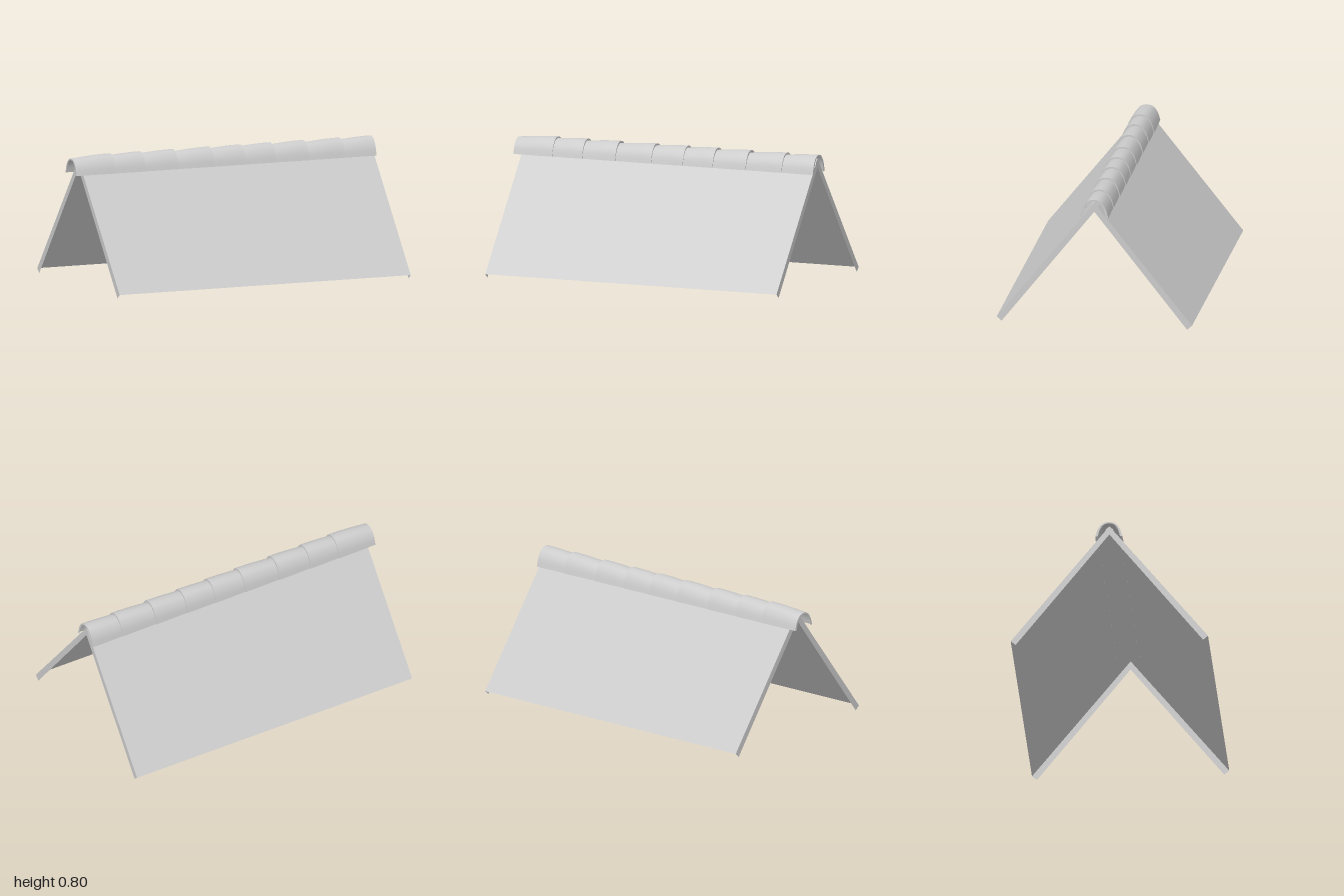
import * as THREE from 'three';
import { mergeGeometries, toCreasedNormals } from 'three/addons/utils/BufferGeometryUtils.js';

const material = new THREE.MeshStandardMaterial({ color: 0xcccccc, side: THREE.DoubleSide });

// Shell along x, open underneath: an outer skin with a flat cap at each end.
// Profiles hold (z, y) points; scaleAt(t) gives the [z, y] scale along the length.
function shell(name, outer, inner, length, steps, scaleAt) {
  const place = (p, i, t, z, y) => {
    const [sz, sy] = scaleAt(t);
    p.setXYZ(i, (t - 0.5) * length, y * sy, z * sz);
  };
  const n = outer.length;
  const skin = new THREE.PlaneGeometry(1, 1, n - 1, steps);
  const sp = skin.attributes.position;
  for (let i = 0; i < sp.count; i++) {
    const point = outer[i % n];
    place(sp, i, Math.floor(i / n) / steps, point.x, point.y);
  }
  const caps = [0, 1].map((t) => {
    const cap = new THREE.ShapeGeometry(new THREE.Shape([...outer, ...[...inner].reverse()]));
    const cp = cap.attributes.position;
    for (let i = 0; i < cp.count; i++) place(cp, i, t, cp.getX(i), cp.getY(i));
    return cap;
  });
  const mesh = new THREE.Mesh(toCreasedNormals(mergeGeometries([skin, ...caps]), 0.7), material);
  mesh.name = name;
  return mesh;
}

const points = (list) => list.map(([z, y]) => new THREE.Vector2(z, y));

// Sloping slab, facing +z
function slope(name) {
  const outer = points([[0.6, 0.026], [0, 0.777], [-0.025, 0.754]]);
  const inner = points([[0.57, 0]]);
  const mesh = shell(name, outer, inner, 1.943, 1, () => [1, 1]);
  mesh.position.x = 0.021;
  return mesh;
}

// Smooth arch from one foot to the other, measured from the foot line
function arch(halfWidth, height) {
  const half = [[1, 0], [0.82, 0.5], [0.48, 0.88]];
  const profile = [...half, [0, 1], ...half.map(([z, y]) => [-z, y]).reverse()];
  return new THREE.SplineCurve(points(profile.map(([z, y]) =>
    [z * halfWidth, y * height]))).getPoints(24);
}

// Ridge tile, tapering in a gentle curve towards its left-hand end
function ridgeTile(end) {
  const length = 0.26;
  const mesh = shell('ridgeTile', arch(0.087, 0.112), arch(0.072, 0.102), length, 6, (t) => {
    const rise = Math.sin(t * Math.PI / 2);
    return [0.94 + 0.06 * rise, 0.85 + 0.15 * rise];
  });
  mesh.position.set(end - length / 2, 0.688, 0);
  return mesh;
}

export function createModel() {
  const model = new THREE.Group();
  model.name = 'gableRoof';
  const back = slope('backSlope');
  back.rotation.y = Math.PI;
  model.add(slope('frontSlope'), back);

  // Row of equal tiles with slightly uneven overlaps
  const ridge = new THREE.Group();
  ridge.name = 'ridge';
  for (const end of [-0.74, -0.54, -0.32, -0.08, 0.13, 0.33, 0.55, 0.79, 1]) {
    ridge.add(ridgeTile(end));
  }
  model.add(ridge);
  return model;
}
